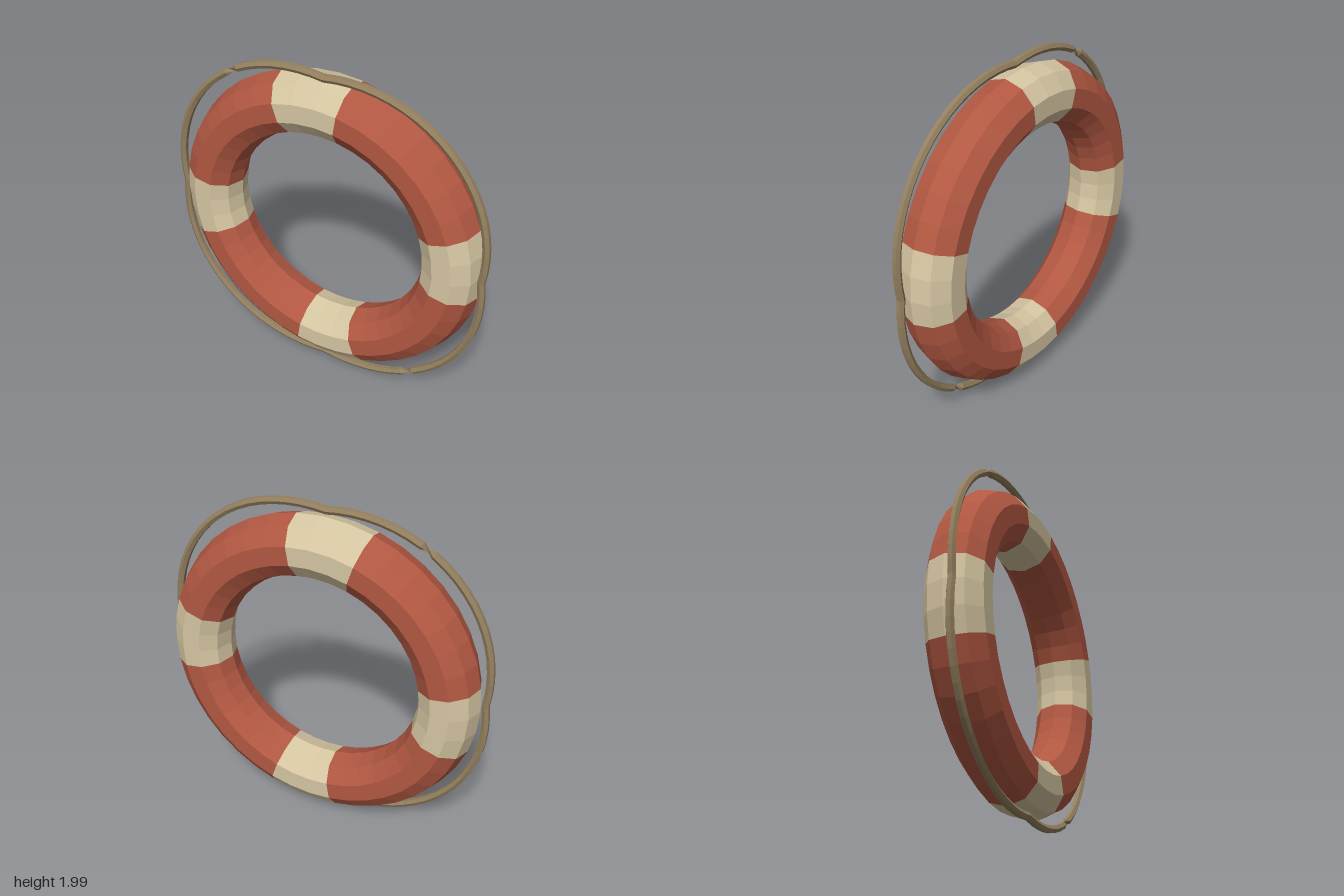
import * as THREE from 'three';

const RING_R = 0.778, TUBE_R = 0.176, STEP = Math.PI / 20;

const makeMaterial = (name, color, side = THREE.FrontSide) =>
  Object.assign(new THREE.MeshStandardMaterial({ color, flatShading: true, side }), { name });

// Ring section covering a number of 9 degree steps
function ringSection(name, startStep, steps, material) {
  const mesh = new THREE.Mesh(
    new THREE.TorusGeometry(RING_R, TUBE_R, 10, steps, steps * STEP), material);
  mesh.rotation.z = startStep * STEP;
  mesh.name = name;
  return mesh;
}

// Hexagonal rope held at four points, bulging between them, with two half twists
function ropeGeometry() {
  const rings = 80, sides = 6, radius = 0.0235;
  const positions = [], indices = [];
  for (let i = 0; i < rings; i++) {
    const a = (i / rings) * Math.PI * 2;
    const pathR = 0.963 + 0.077 * Math.abs(Math.sin(2 * a));
    const twist = i > 27 && i <= 67 ? 3 : 0;
    for (let j = 0; j < sides; j++) {
      const b = ((j + twist + 0.5) / sides) * Math.PI * 2;
      const r = pathR + radius * Math.cos(b);
      positions.push(r * Math.cos(a), r * Math.sin(a), radius * Math.sin(b));
      const k = (j + 1) % sides, n = ((i + 1) % rings) * sides, c = i * sides;
      indices.push(c + j, n + j, n + k, c + j, n + k, c + k);
    }
  }
  const geometry = new THREE.BufferGeometry();
  geometry.setAttribute('position', new THREE.Float32BufferAttribute(positions, 3));
  geometry.setIndex(indices);
  geometry.computeVertexNormals();
  return geometry;
}

export function createModel() {
  const red = makeMaterial('faded red', 0xb25842);
  const cream = makeMaterial('cream', 0xd6c6a2);
  const tan = makeMaterial('rope tan', 0x94805f, THREE.DoubleSide);

  const model = new THREE.Group();
  model.name = 'lifebuoy';
  const body = new THREE.Group();
  body.name = 'body';
  body.position.y = 1;
  model.add(body);

  // Four cream bands alternating with four red sections
  for (let q = 0; q < 4; q++) {
    body.add(ringSection(`creamBand${q + 1}`, q * 10 - 1, 3, cream));
    body.add(ringSection(`redSection${q + 1}`, q * 10 + 2, 7, red));
  }

  // Grab rope, set slightly forward
  const rope = new THREE.Mesh(ropeGeometry(), tan);
  rope.name = 'grabRope';
  rope.position.z = 0.057;
  body.add(rope);

  return model;
}
